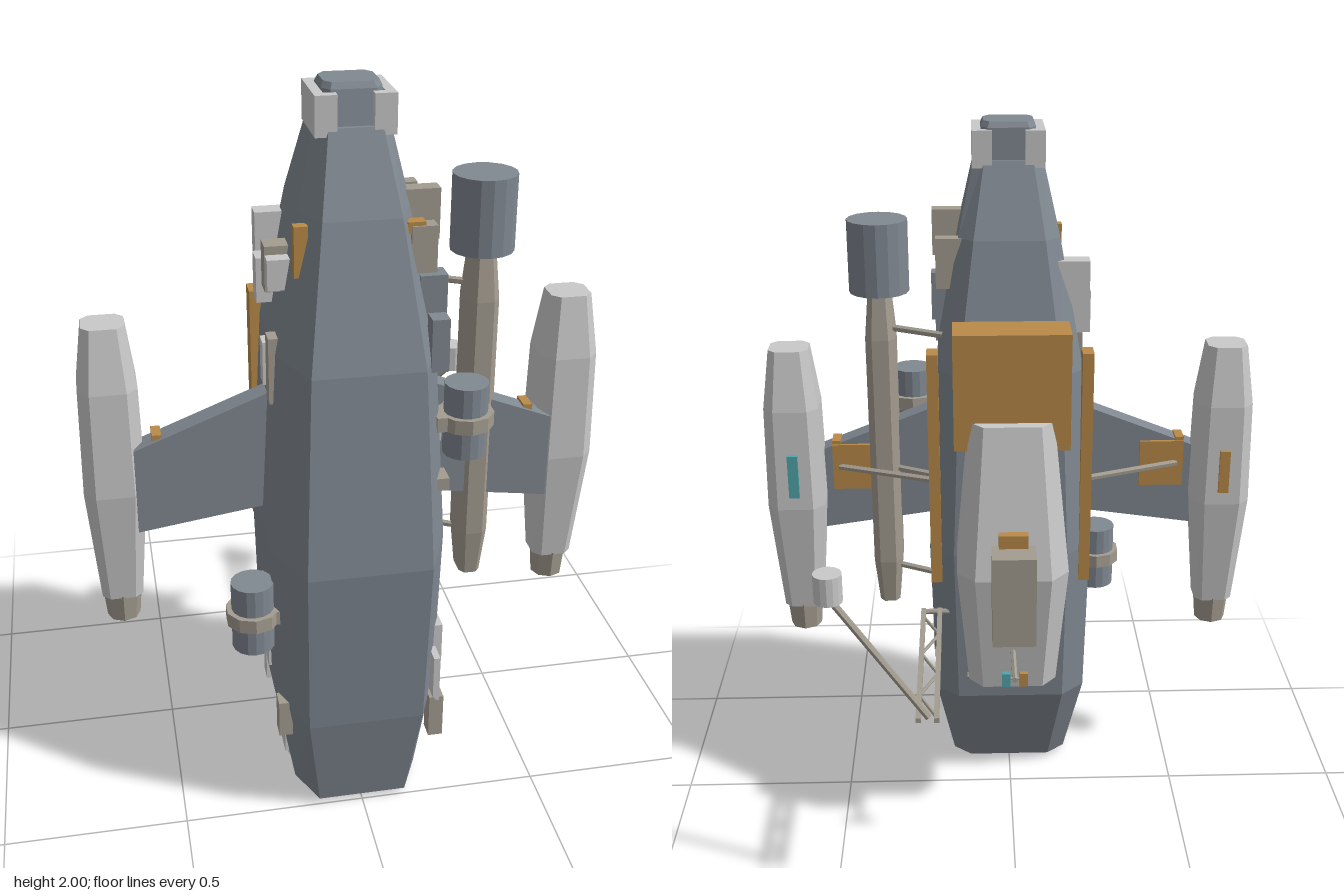
import * as THREE from 'three';

const mat = (name, color, side = THREE.FrontSide) => {
  const m = new THREE.MeshStandardMaterial({ color, flatShading: true, side });
  m.name = name;
  return m;
};

export function createModel() {
  const root = new THREE.Group();
  root.name = 'spaceship';
  const hullGrey = mat('hull grey', 0x808891);
  const light = mat('light grey', 0xc9c9c9);
  const beige = mat('warm grey', 0xa39c90);
  const orange = mat('orange', 0xb98b48);
  const teal = mat('teal', 0x4fa5aa);
  const dark = mat('dark nozzle', 0x54595f);

  const add = (name, geo, material, x = 0, y = 0, z = 0) => {
    const m = new THREE.Mesh(geo, material);
    m.name = name;
    m.position.set(x, y, z);
    root.add(m);
    return m;
  };
  // Box given by its extents on each axis
  const box = (name, material, x0, x1, y0, y1, z0, z1) =>
    add(name, new THREE.BoxGeometry(Math.abs(x1 - x0), y1 - y0, z1 - z0), material,
      (x0 + x1) / 2, (y0 + y1) / 2, (z0 + z1) / 2);
  const drum = (name, material, r, y0, y1, x, z, sides = 16, rBottom = r) =>
    add(name, new THREE.CylinderGeometry(r, rBottom, y1 - y0, sides), material, x, (y0 + y1) / 2, z);
  // Round bar between two points
  const rod = (name, material, a, b, r = 0.008) => {
    const p = new THREE.Vector3(...a), q = new THREE.Vector3(...b), d = q.clone().sub(p);
    const m = add(name, new THREE.CylinderGeometry(r, r, d.length(), 6), material);
    m.position.copy(p).add(q).multiplyScalar(0.5);
    m.quaternion.setFromUnitVectors(new THREE.Vector3(0, 1, 0), d.normalize());
  };
  // Chamfered sections [y, halfWidth, zFront, zBack] stacked upwards
  const loft = (stations, cx, cf, cb) => {
    const rings = stations.map(([y, w, f, b]) => {
      const d = f - b, F = f - cf * d, B = b + cb * d, c = cx * w;
      return [[w, F], [w, B], [c, b], [-c, b], [-w, B], [-w, F], [-c, f], [c, f]].map(([x, z]) => [x, y, z]);
    });
    const pos = [], tri = (a, b, c) => pos.push(...a, ...b, ...c);
    for (let s = 0; s < rings.length - 1; s++) {
      for (let i = 0; i < 8; i++) {
        const j = (i + 1) % 8, lo = rings[s], hi = rings[s + 1];
        tri(lo[i], lo[j], hi[j]);
        tri(lo[i], hi[j], hi[i]);
      }
    }
    const top = rings[rings.length - 1], bot = rings[0];
    for (let i = 1; i < 7; i++) {
      tri(top[0], top[i], top[i + 1]);
      tri(bot[0], bot[i + 1], bot[i]);
    }
    const g = new THREE.BufferGeometry();
    g.setAttribute('position', new THREE.Float32BufferAttribute(pos, 3));
    g.computeVertexNormals();
    return g;
  };

  // Main hull and its nose cap
  const hull = [
    [0.02, 0.175, 0.5, 0.115], [0.31, 0.225, 0.545, 0], [0.8, 0.235, 0.575, -0.025],
    [1.34, 0.205, 0.525, -0.01], [1.7, 0.14, 0.425, 0.07], [1.9, 0.095, 0.335, 0.155],
  ];
  add('hull', loft(hull, 0.7, 0.29, 0.115), hullGrey);
  add('noseCap', loft([[1.88, 0.08, 0.325, 0.16], [1.985, 0.075, 0.305, 0.165], [2, 0.068, 0.295, 0.175]],
    0.75, 0.2, 0.2), hullGrey);
  const hullWidth = (y) => {
    let i = 0;
    while (i < hull.length - 2 && hull[i + 1][0] < y) i++;
    const [a, b] = [hull[i], hull[i + 1]];
    return a[1] + (b[1] - a[1]) * (y - a[0]) / (b[0] - a[0]);
  };

  for (const s of [-1, 1]) {
    // Nose brackets and stern details
    box('noseBracket', light, s * 0.075, s * 0.1, 1.88, 1.98, 0.15, 0.338);
    box('noseBracketArm', light, s * 0.045, s * 0.08, 1.88, 1.98, 0.31, 0.338);
    box('noseBracketArm', light, s * 0.045, s * 0.08, 1.88, 1.98, 0.15, 0.178);
    box('sternPlate', light, s * 0.16, s * 0.187, 0.02, 0.09, 0.21, 0.28);
    add('sternRing', new THREE.TorusGeometry(0.08, 0.012, 6, 16), light, s * 0.092, 0.012, 0.245).rotation.x = Math.PI / 2;
    drum('sternNozzle', dark, 0.078, 0.012, 0.022, s * 0.092, 0.245);

    // Swept wing
    const wing = new THREE.Shape([[0.15, 0.86], [0.57, 0.8], [0.57, 1.045], [0.15, 1.21]]
      .map(([x, y]) => new THREE.Vector2(s * x, y)));
    add('wing', new THREE.ExtrudeGeometry(wing, { depth: 0.065, bevelEnabled: false }), hullGrey, 0, 0, 0.185);
    box('wingPanel', orange, s * 0.39, s * 0.52, 0.93, 1.07, 0.175, 0.188);
    box('wingBlock', orange, s * 0.495, s * 0.52, 0.95, 1.082, 0.18, 0.238);
    rod('wingStrut', beige, [s * 0.22, 1.0, 0.07], [s * 0.5, 1.0, 0.18], 0.01);

    // Outer nacelle with tail nozzle
    add('nacelle', loft([[0.57, 0.056, 0.212, 0.108], [0.91, 0.083, 0.25, 0.07],
      [1.21, 0.078, 0.243, 0.077], [1.38, 0.056, 0.213, 0.107]], 0.62, 0.2, 0.2), light, s * 0.625);
    drum('nacelleNozzle', beige, 0.054, 0.49, 0.575, s * 0.625, 0.16, 8, 0.046);
    drum('nacelleNozzleCore', dark, 0.032, 0.487, 0.493, s * 0.625, 0.16, 8);
    box('nacelleMarker', s > 0 ? teal : orange, s * 0.61, s * 0.64, 0.95, 1.08, 0.063, 0.085);

    // Long rail on the rear corner of the hull
    box('sideRail', orange, s * 0.2, s * 0.232, 0.92, 1.4, 0.005, 0.068);
    box('sideRailTail', orange, s * 0.2, s * 0.232, 0.7, 0.92, 0.005, 0.03);

    // Collared tank, staggered from side to side
    const y = s > 0 ? 1.04 : 0.5;
    drum('tank', hullGrey, 0.058, y, y + 0.2, s * 0.285, 0.39);
    drum('tankCollar', beige, 0.074, y + 0.08, y + 0.12, s * 0.285, 0.39, 10);
    box('tankMount', beige, s * 0.2, s * 0.25, y + 0.08, y + 0.12, 0.35, 0.43);
  }

  // Small boxes on the flanks: [side, material, y0, y1, z0, z1, protrusion]
  const blocks = [
    [1, beige, 1.55, 1.67, 0.36, 0.405, 0.035], [1, orange, 1.65, 1.68, 0.365, 0.4, 0.015],
    [1, beige, 1.61, 1.74, 0.285, 0.33, 0.07], [1, beige, 1.56, 1.7, 0.1, 0.14, 0.05],
    [1, hullGrey, 1.4, 1.54, 0.345, 0.4, 0.04], [1, hullGrey, 1.31, 1.45, 0.42, 0.47, 0.015],
    [1, light, 1.18, 1.28, 0.27, 0.31, 0.012], [1, light, 1.06, 1.13, 0.33, 0.36, 0.012],
    [1, beige, 0.965, 1, 0.4, 0.46, 0.005], [1, light, 0.4, 0.52, 0.37, 0.43, 0.008],
    [1, light, 0.32, 0.46, 0.44, 0.5, -0.012], [1, beige, 0.2, 0.33, 0.45, 0.5, 0.01],
    [1, light, 0.36, 0.48, 0.2, 0.26, 0.008],
    [-1, light, 1.42, 1.54, 0.14, 0.2, 0.05], [-1, light, 1.52, 1.64, 0.08, 0.135, 0.06],
    [-1, beige, 1.48, 1.6, 0.225, 0.285, 0.05], [-1, light, 1.5, 1.58, 0.29, 0.33, 0.05],
    [-1, orange, 1.55, 1.68, 0.355, 0.385, 0.005], [-1, beige, 1.2, 1.38, 0.3, 0.35, 0.015],
    [-1, light, 1.2, 1.32, 0.18, 0.23, 0.012], [-1, light, 0.45, 0.55, 0.14, 0.19, 0.006],
    [-1, light, 0.36, 0.48, 0.26, 0.31, 0.006], [-1, beige, 0.55, 0.62, 0.22, 0.27, 0.006],
    [-1, beige, 0.22, 0.33, 0.4, 0.45, 0.008], [-1, light, 0.24, 0.34, 0.16, 0.21, 0.006],
  ];
  for (const [s, m, y0, y1, z0, z1, out] of blocks) {
    const w = hullWidth((y0 + y1) / 2);
    box('flankBlock', m, s * (w - 0.03), s * (w + out), y0, y1, z0, z1);
  }

  // Long side pod topped by a drum, with its rods to the hull
  add('sidePod', loft([[0.56, 0.03, 0.245, 0.155], [0.7, 0.043, 0.262, 0.138], [1.4, 0.043, 0.262, 0.138],
    [1.53, 0.032, 0.245, 0.155]], 0.55, 0.2, 0.2), beige, 0.365);
  drum('podDrum', hullGrey, 0.085, 1.53, 1.735, 0.365, 0.2, 16);
  for (const y of [0.68, 1.0, 1.43]) rod('podRod', beige, [0.18, y, 0.09], [0.35, y, 0.18], 0.01);

  // Rear module, cargo box and equipment
  add('rearModule', loft([[0.475, 0.125, 0.02, -0.215], [0.84, 0.155, 0.02, -0.268],
    [1.26, 0.115, 0.02, -0.187]], 0.68, 0, 0.2), light);
  box('cargoBox', orange, -0.158, 0.158, 1.18, 1.505, -0.155, -0.028);
  box('cargoMount', beige, -0.13, 0.13, 1.22, 1.44, -0.03, 0.02);
  box('rearLocker', beige, -0.06, 0.06, 0.675, 0.94, -0.335, -0.23);
  box('lockerMarker', orange, -0.04, 0.04, 0.94, 0.978, -0.268, -0.24);
  for (const y of [0.39, 1.47]) rod('rearBar', beige, [-0.13, y, -0.012], [0.13, y, -0.012], 0.01);
  rod('lampPost', beige, [0, 0.6, -0.2], [0, 0.6, -0.385]);
  rod('lampCrossbar', beige, [-0.03, 0.6, -0.376], [0.03, 0.6, -0.376], 0.004);
  box('lampRight', orange, -0.035, -0.013, 0.58, 0.62, -0.386, -0.372);
  box('lampLeft', teal, 0.013, 0.035, 0.58, 0.62, -0.386, -0.372);

  // Flat truss boom with an angled arm and sensor
  for (const x of [0.21, 0.258]) box('boomRail', beige, x - 0.007, x + 0.007, 0.593, 0.607, -0.575, 0.02);
  for (let i = 0; i < 5; i++) {
    const xs = i % 2 ? [0.258, 0.21] : [0.21, 0.258];
    rod('boomBrace', beige, [xs[0], 0.6, -0.56 + i * 0.108], [xs[1], 0.6, -0.452 + i * 0.108], 0.005);
  }
  rod('boomFoot', beige, [0.14, 0.6, 0.01], [0.26, 0.6, 0.01]);
  rod('sensorArm', beige, [0.23, 0.6, -0.56], [0.485, 0.9, -0.455], 0.01);
  drum('sensor', light, 0.038, 0.89, 0.97, 0.485, -0.453, 14);

  return root;
}
